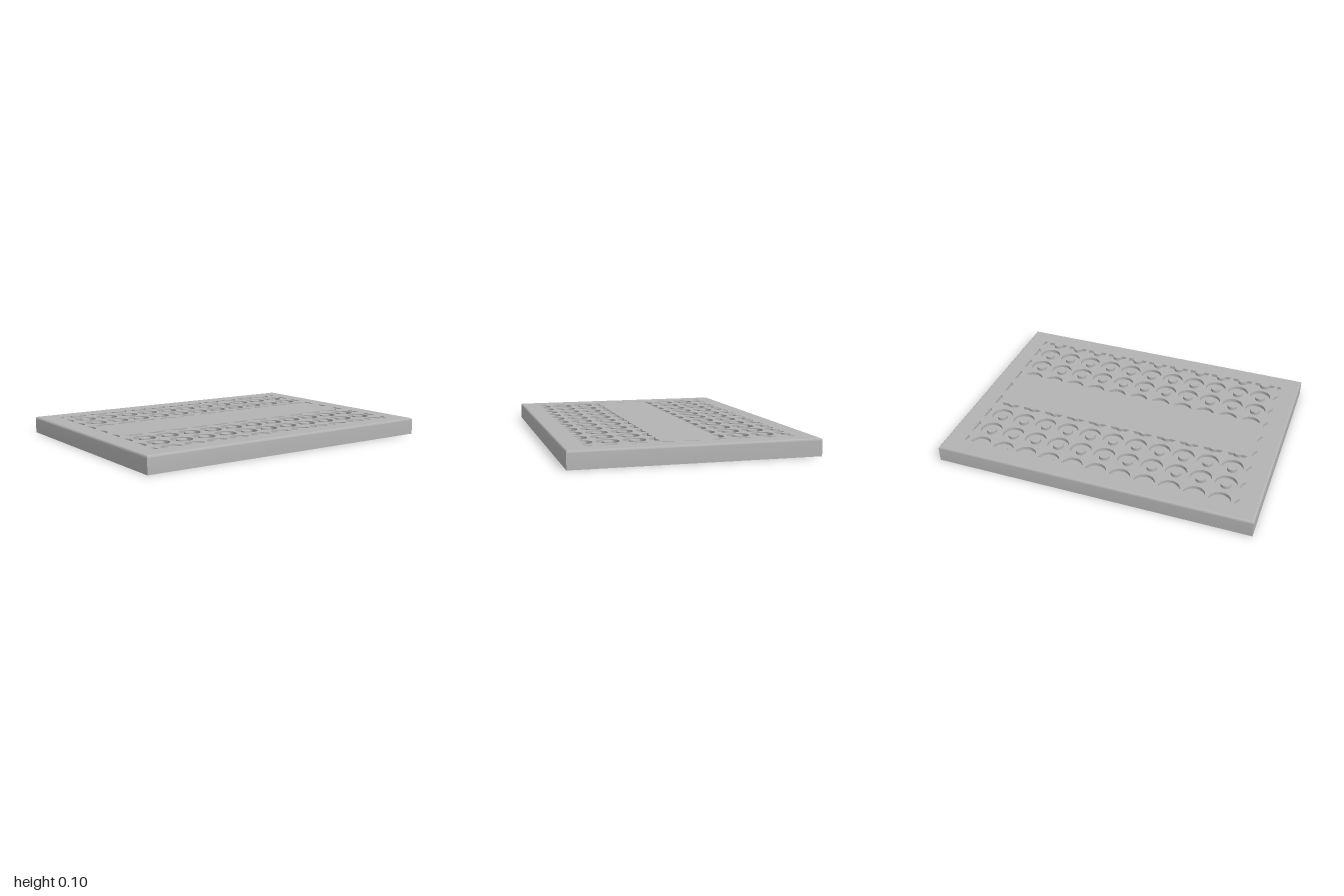
import * as THREE from 'three';
import { toCreasedNormals } from 'three/addons/utils/BufferGeometryUtils.js';

const W = 0.735, D = 1, H = 0.105;        // half width, half depth, height
const WALL = 0.025, FLOOR = 0.065;        // wall thickness, underside level
const FILLET = 0.014, GROOVE = 0.02, POCKET = 0.012;
const P = 0.154, RO = 0.067, RI = 0.032;  // ring pitch and radii

const rect = (w, d) => new THREE.Shape([
  new THREE.Vector2(-w, -d), new THREE.Vector2(w, -d),
  new THREE.Vector2(w, d), new THREE.Vector2(-w, d)]);

// Lay a flat shape on the xz plane and thicken it upward from y
function slab(shape, y, depth) {
  const g = new THREE.ExtrudeGeometry(shape, { depth, bevelEnabled: false, curveSegments: 24 });
  return g.rotateX(-Math.PI / 2).translate(0, y, 0);
}

// Skin a rectangular loop along a profile of [inset, y]
function rectLoft(profile) {
  const signs = [[-1, 1], [1, 1], [1, -1], [-1, -1]];
  const at = (k, [inset, y]) => [signs[k % 4][0] * (W - inset), y, signs[k % 4][1] * (D - inset)];
  const pos = [];
  for (let j = 0; j < profile.length - 1; j++) {
    for (let k = 0; k < 4; k++) {
      const a = at(k, profile[j]), b = at(k + 1, profile[j]);
      const c = at(k + 1, profile[j + 1]), d = at(k, profile[j + 1]);
      pos.push(...a, ...b, ...c, ...a, ...c, ...d);
    }
  }
  const g = new THREE.BufferGeometry();
  g.setAttribute('position', new THREE.Float32BufferAttribute(pos, 3));
  return toCreasedNormals(g, 0.6);
}

// Part of a ring cut by a straight line at distance d from its centre;
// dir is the direction of the kept side, side = -1 / 1 keeps only one half
function cutRing(cx, cy, dir, d, side = 0) {
  const pts = [];
  const add = (r, a) => pts.push(new THREE.Vector2(cx + r * Math.cos(dir + a), cy + r * Math.sin(dir + a)));
  const h = Math.acos(d / RO), n = 20;
  const from = side > 0 ? 0 : -h, to = side < 0 ? 0 : h;
  for (let i = 0; i <= n; i++) add(RO, from + (to - from) * i / n);
  if (side) add(d, 0);
  else if (d < RI) {
    const hi = Math.acos(d / RI);
    for (let i = 0; i <= n; i++) add(RI, hi - 2 * hi * i / n);
  }
  return new THREE.Path(pts);
}

export function createModel() {
  const model = new THREE.Group();
  const grey = new THREE.MeshStandardMaterial({ color: 0xb3b3b3 });
  const add = (name, geometry, parent = model) => {
    const m = new THREE.Mesh(geometry, grey);
    m.name = name;
    parent.add(m);
    return m;
  };

  // Side walls with a rounded upper edge
  const profile = [[WALL, FLOOR + 0.005], [WALL, 0], [0, 0]];
  for (let i = 0; i <= 6; i++) {
    const a = i / 6 * Math.PI / 2;
    profile.push([FILLET * (1 - Math.cos(a)), H - FILLET + FILLET * Math.sin(a)]);
  }
  add('sideWalls', rectLoft(profile));

  // Top plate with ring grooves
  const top = rect(W - FILLET, D - FILLET);
  const posts = new THREE.Group();
  posts.name = 'ringCentres';
  model.add(posts);
  const postGeo = new THREE.CylinderGeometry(RI, RI, GROOVE, 32);
  for (const s of [-1, 1]) {
    const inward = s > 0 ? Math.PI : 0, outward = Math.PI - inward;
    for (let r = -5; r <= 5; r++) {
      for (const k of [2, 3]) {
        top.holes.push(new THREE.Path().absarc(s * k * P, r * P, RO, 0, Math.PI * 2, true));
        add('ringCentre', postGeo, posts).position.set(s * k * P, H - GROOVE / 2, -r * P);
      }
      top.holes.push(cutRing(s * 4 * P, r * P, inward, 0));
      top.holes.push(cutRing(s * P, r * P, outward, 0.023));
    }
    // Slivers along the front and back ends
    for (let k = -4; k <= 4; k++) {
      const half = Math.abs(k) === 4 ? Math.sign(k) * -s : 0;
      top.holes.push(cutRing(k * P, s * 6 * P, -s * Math.PI / 2, 0.043, -half * 1 ? (s * s * Math.sign(k) * -s) : 0));
    }
  }
  add('topPlate', slab(top, H - GROOVE, GROOVE));

  // Solid middle layer that closes the grooves and pockets
  const midY = FLOOR + POCKET;
  add('middleLayer', slab(rect(W - 0.005, D - 0.005), midY, H - GROOVE - midY));

  // Underside with a strip of honeycomb pockets
  const under = rect(W - 0.01, D - 0.01);
  const R = P / Math.sqrt(3), rows = 12;
  for (let r = 0; r < rows; r++) {
    for (const c of [-0.5, 0.5]) {
      const x = (c + (r % 2 ? 0.25 : -0.25)) * P, y = (r - (rows - 1) / 2) * R * 1.5;
      const pts = [];
      for (let i = 0; i < 6; i++) {
        const a = Math.PI / 6 + i * Math.PI / 3;
        pts.push(new THREE.Vector2(x + (R - 0.007) * Math.cos(a), y + (R - 0.007) * Math.sin(a)));
      }
      under.holes.push(new THREE.Path(pts));
    }
  }
  add('honeycombUnderside', slab(under, FLOOR, POCKET));

  // Small locating bumps inside the long walls
  const bump = new THREE.SphereGeometry(0.013, 16, 10).scale(0.5, 1, 1);
  for (const s of [-1, 1]) {
    for (const z of [-0.7, 0, 0.7]) add('wallBump', bump).position.set(s * (W - WALL), 0.03, z);
  }
  return model;
}
